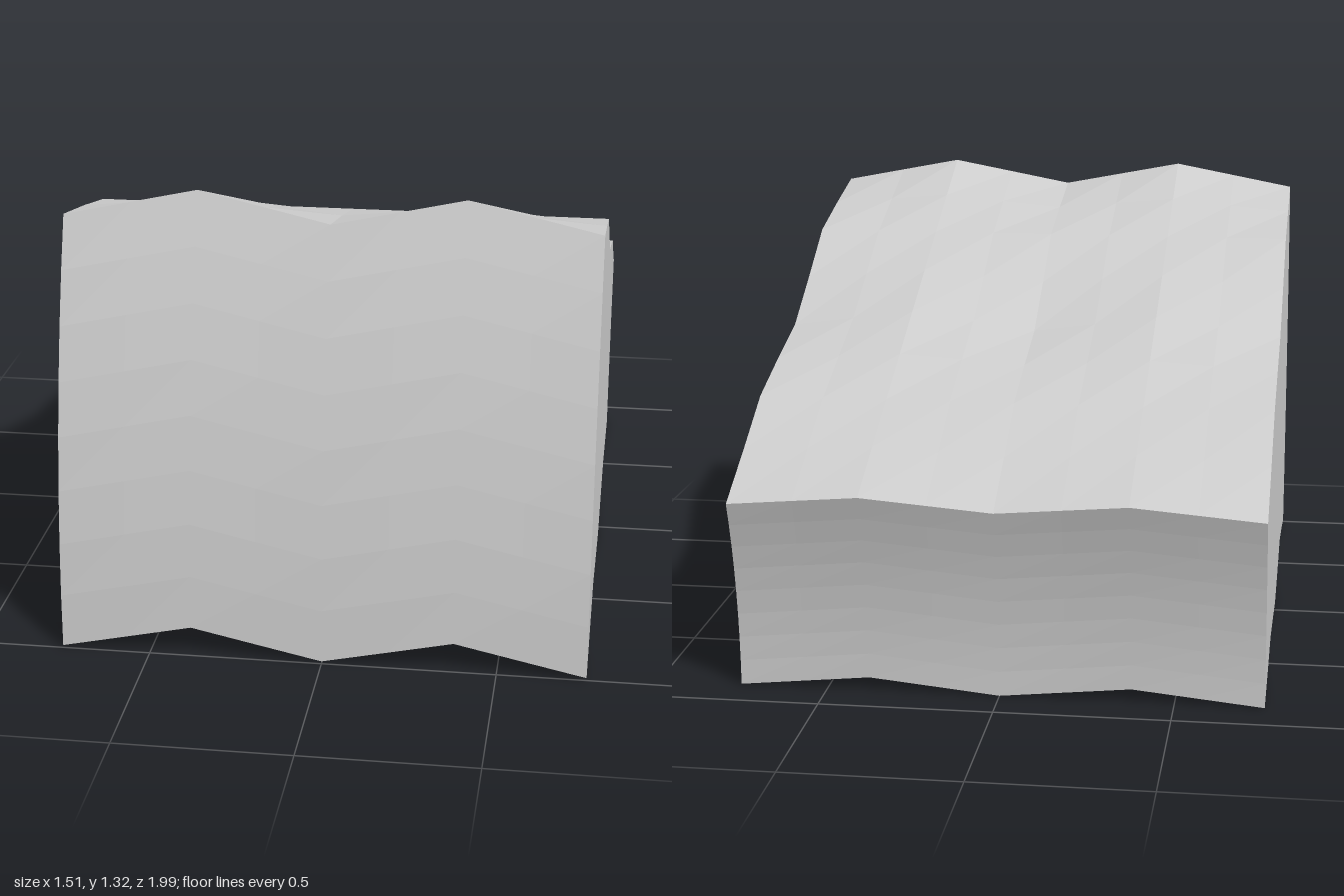
import * as THREE from 'three';

const SEG = 8;                         // divisions per panel side
const WIDTH = 1.51;
const AXIS_Z = -2.48;                  // bend axis, parallel to x at y = 0
const R_BACK = 1.61, R_FRONT = 3.48;
const START = 0.004, SWEEP = 0.3635;   // bend angles in radians
const WAVE = 0.0235;                   // height of the folds as an angle

// Zigzag 0-1-0-1-0 along one side
const zigzag = (s) => 1 - Math.abs(1 - ((4 * s) % 2));

// Point of the bent block: s across (left to right in x), d from back to front, t upwards
function point(s, d, t) {
  const fold = 1 - (1 - zigzag(s)) * (1 - zigzag(d));
  const angle = START + SWEEP * t + WAVE * fold;
  const r = R_BACK + (R_FRONT - R_BACK) * d;
  return [(s - 0.5) * WIDTH, r * Math.sin(angle), AXIS_Z + r * Math.cos(angle)];
}

// Grid panel whose outward side is du x dv
function panel(name, material, map) {
  const positions = [], index = [];
  for (let j = 0; j <= SEG; j++) {
    for (let i = 0; i <= SEG; i++) positions.push(...map(i / SEG, j / SEG));
  }
  for (let j = 0; j < SEG; j++) {
    for (let i = 0; i < SEG; i++) {
      const a = j * (SEG + 1) + i, b = a + 1, c = b + SEG + 1, d = c - 1;
      index.push(a, b, c, a, c, d);
    }
  }
  const geometry = new THREE.BufferGeometry();
  geometry.setAttribute('position', new THREE.Float32BufferAttribute(positions, 3));
  geometry.setIndex(index);
  geometry.computeVertexNormals();
  const mesh = new THREE.Mesh(geometry, material);
  mesh.name = name;
  return mesh;
}

export function createModel() {
  const group = new THREE.Group();
  group.name = 'bentFoldedBlock';
  const material = new THREE.MeshStandardMaterial({
    color: 0xcccccc, flatShading: true, side: THREE.DoubleSide,
  });
  // Four walls and a folded top; the underside is open
  group.add(
    panel('frontWall', material, (u, v) => point(u, 1, v)),
    panel('backWall', material, (u, v) => point(1 - u, 0, v)),
    panel('leftWall', material, (u, v) => point(1, 1 - u, v)),
    panel('rightWall', material, (u, v) => point(0, u, v)),
    panel('foldedTop', material, (u, v) => point(u, 1 - v, 1)),
  );
  return group;
}
